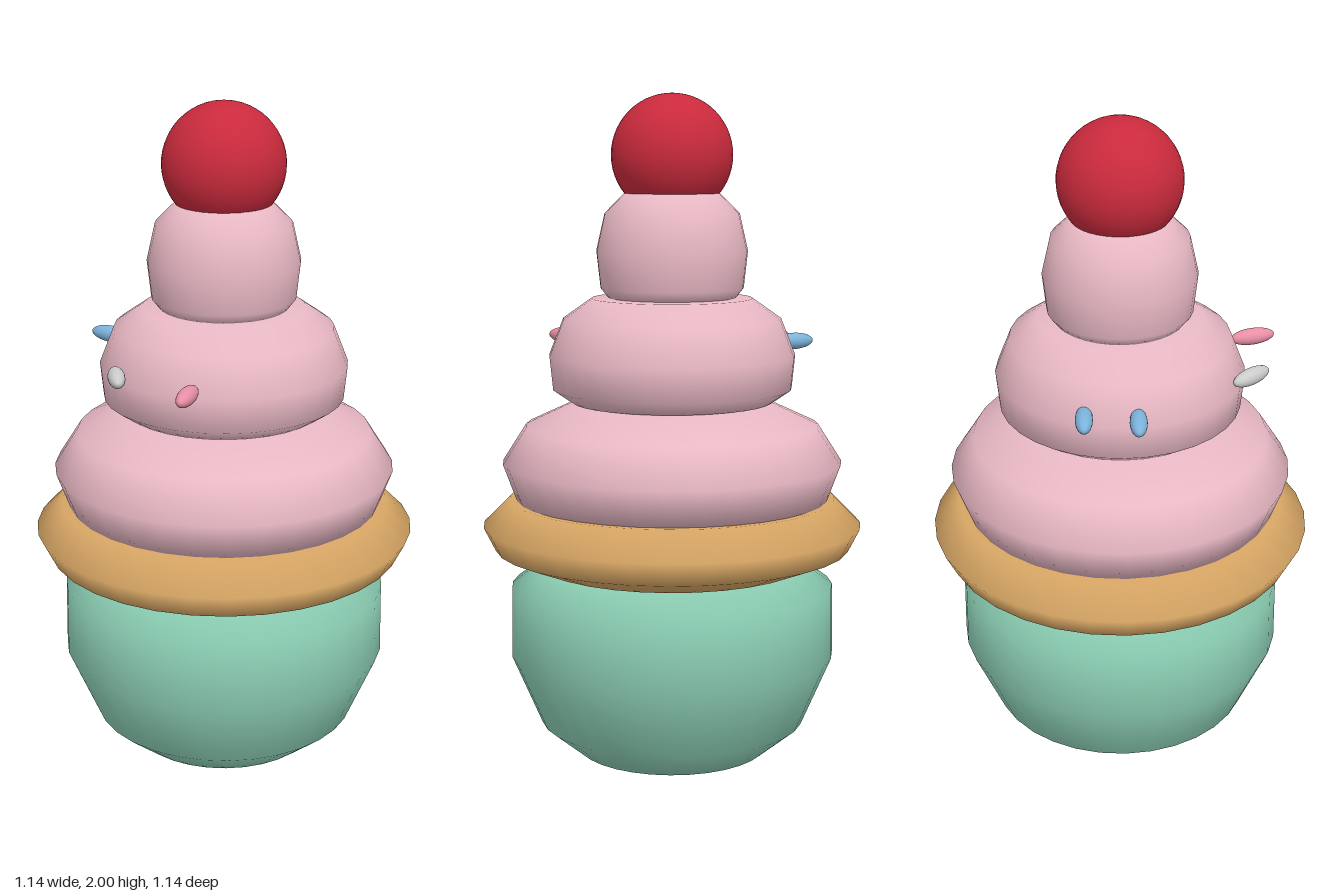
import * as THREE from 'three';

const paint = (color) => new THREE.MeshStandardMaterial({ color });

// Turned layer from [radius, height] pairs, listed bottom to top
function layer(name, color, profile) {
  const points = profile.map(([r, y]) => new THREE.Vector2(r, y));
  const mesh = new THREE.Mesh(new THREE.LatheGeometry(points, 32), paint(color));
  mesh.name = name;
  return mesh;
}

// Small horizontal ellipsoid pointing along (dx, dz)
function sprinkle(name, color, x, z, dx, dz) {
  const geometry = new THREE.SphereGeometry(1, 20, 14).scale(0.07, 0.025, 0.025);
  const mesh = new THREE.Mesh(geometry, paint(color));
  mesh.name = name;
  mesh.position.set(x, 1.26, z);
  mesh.rotation.y = Math.atan2(-dz, dx);
  return mesh;
}

export function createModel() {
  const model = new THREE.Group();
  model.name = 'cupcake';
  const pink = 0xe8b8c4;

  // Cup and biscuit rim
  model.add(layer('cup', 0x8accb2, [
    [0, 0], [0.29, 0.02], [0.4, 0.11], [0.49, 0.32], [0.487, 0.53], [0.39, 0.6], [0, 0.63],
  ]));
  model.add(layer('biscuitRim', 0xd6a564, [
    [0, 0.595], [0.41, 0.6], [0.535, 0.65], [0.57, 0.72], [0.49, 0.8], [0, 0.81],
  ]));

  // Three frosting tiers
  const frosting = new THREE.Group();
  frosting.name = 'frosting';
  frosting.add(layer('lowerFrosting', pink, [
    [0, 0.78], [0.47, 0.8], [0.51, 0.91], [0.44, 1.02], [0.29, 1.09], [0, 1.1],
  ]));
  frosting.add(layer('middleFrosting', pink, [
    [0, 1.07], [0.3, 1.09], [0.358, 1.13], [0.368, 1.23], [0.325, 1.34], [0.24, 1.4], [0, 1.41],
  ]));
  frosting.add(layer('upperFrosting', pink, [
    [0, 1.38], [0.19, 1.4], [0.213, 1.43], [0.225, 1.54], [0.2, 1.65], [0.14, 1.71], [0, 1.73],
  ]));
  model.add(frosting);

  // Cherry
  const cherry = new THREE.Mesh(new THREE.SphereGeometry(0.18, 40, 28), paint(0xc92a3c));
  cherry.name = 'cherry';
  cherry.position.y = 1.82;
  model.add(cherry);

  // Sprinkles around the middle tier
  model.add(
    sprinkle('pinkSprinkle', 0xe78fa5, -0.37, 0.213, -0.13, 0.065),
    sprinkle('greySprinkle', 0xcccccc, -0.391, -0.048, -0.092, 0.115),
    sprinkle('blueSprinkleRight', 0x7db4dc, -0.11, -0.372, -0.012, -0.07),
    sprinkle('blueSprinkleLeft', 0x7db4dc, 0.042, -0.38, -0.012, -0.07),
  );
  return model;
}
